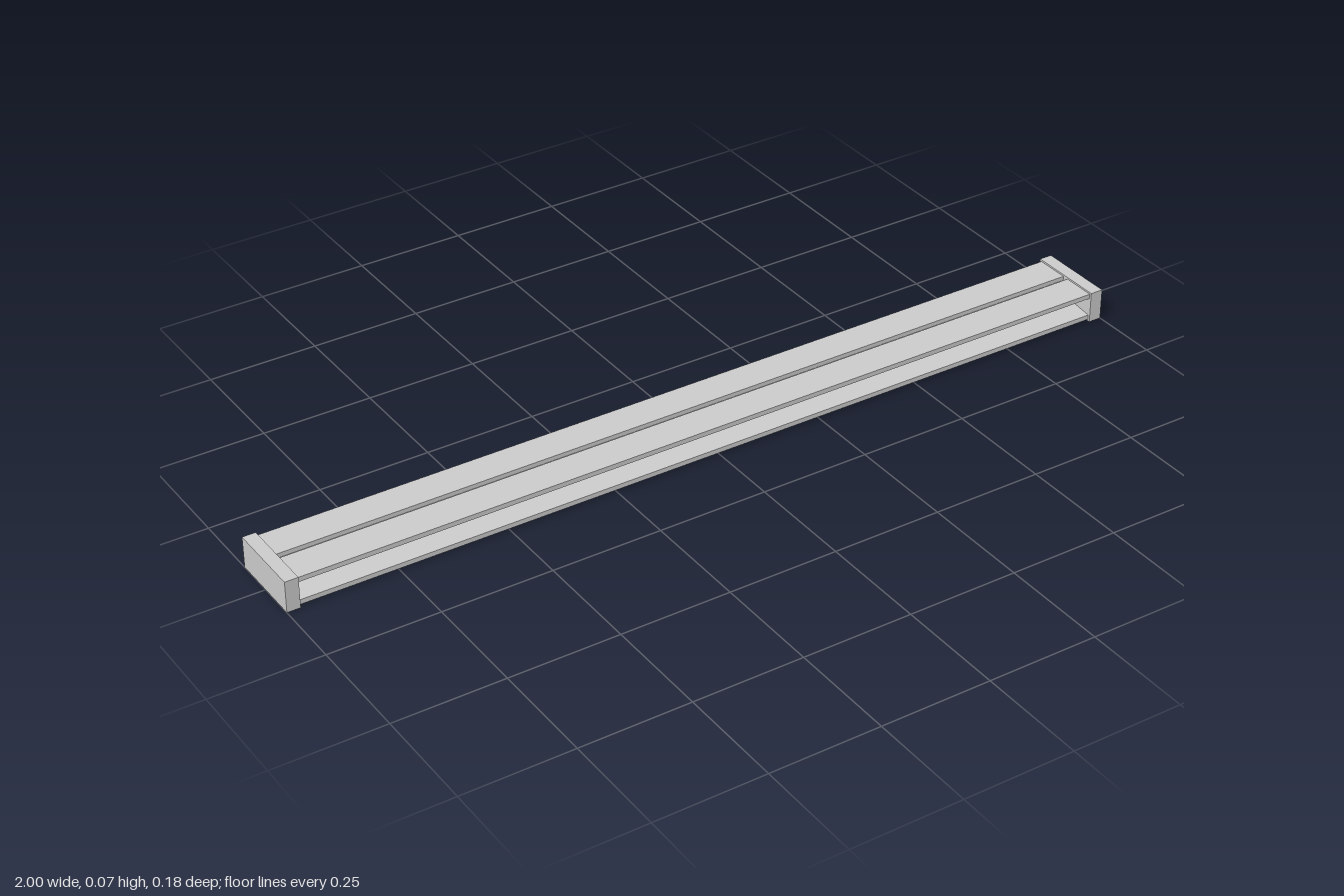
import * as THREE from 'three';

export function createModel() {
  const group = new THREE.Group();
  const material = new THREE.MeshStandardMaterial({ color: 0xcccccc, flatShading: true });

  // Half section (z, y): flat base, side channel, shallow groove along the top
  const half = [
    [0.085, 0.004], [0.085, 0.015], [0.03, 0.021], [0.03, 0.051],
    [0.085, 0.057], [0.085, 0.068], [0.007, 0.068], [0.007, 0.058],
  ];
  const section = [...half, ...half.map(([z, y]) => [-z, y]).reverse()];
  const shape = new THREE.Shape(section.map(([z, y]) => new THREE.Vector2(z, y)));
  const length = 1.95;
  const railGeometry = new THREE.ExtrudeGeometry(shape, { depth: length, bevelEnabled: false });
  railGeometry.translate(0, 0, -length / 2).rotateY(Math.PI / 2);
  const rail = new THREE.Mesh(railGeometry, material);
  rail.name = 'channelledRail';
  group.add(rail);

  // End caps, slightly larger than the rail section
  for (const side of [-1, 1]) {
    const cap = new THREE.Mesh(new THREE.BoxGeometry(0.03, 0.072, 0.18), material);
    cap.position.set(side * 0.985, 0.036, 0);
    cap.name = side > 0 ? 'leftEndCap' : 'rightEndCap';
    group.add(cap);
  }
  return group;
}
